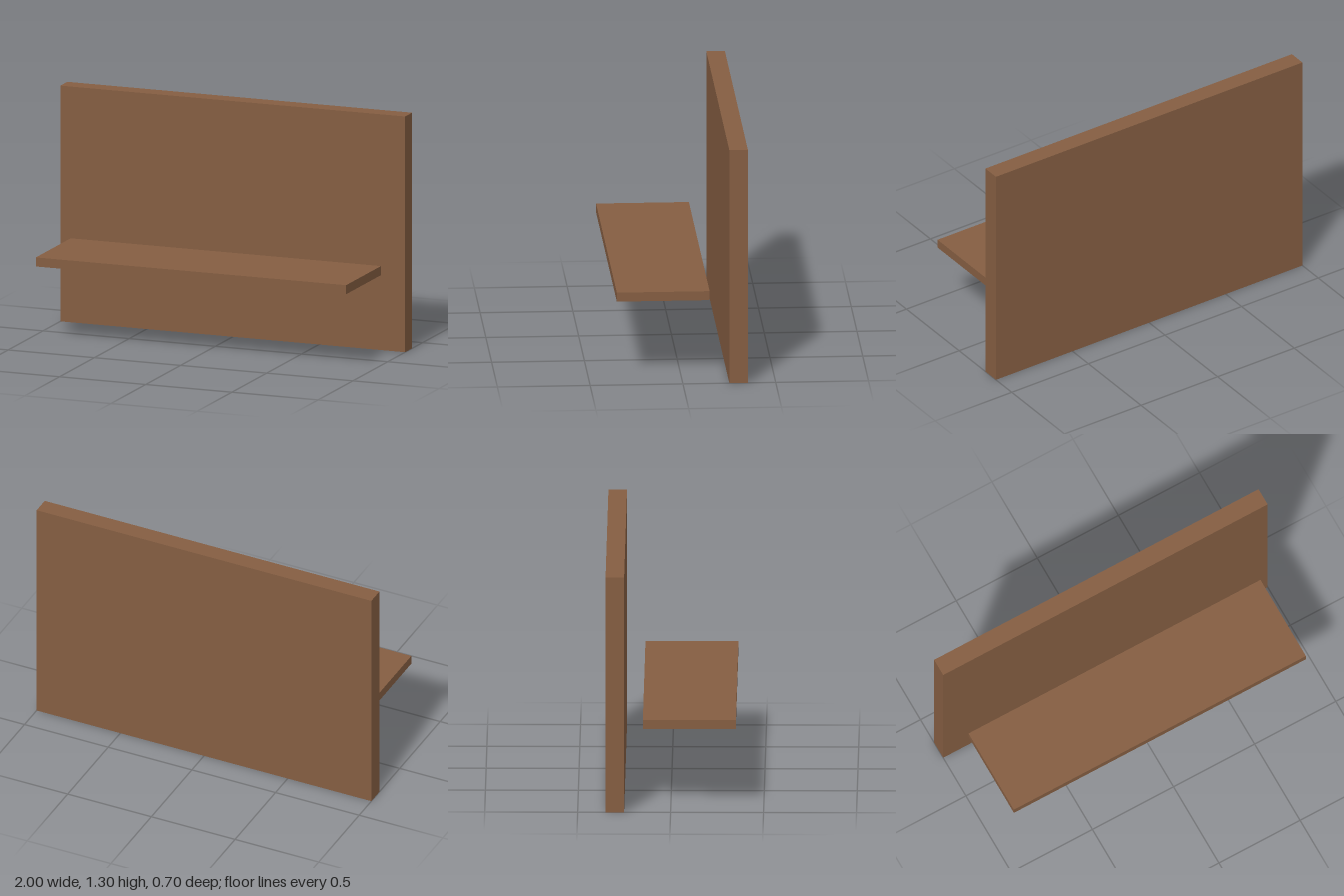
import * as THREE from 'three';

export function createModel() {
  const model = new THREE.Group();
  model.name = 'bench';

  const wood = new THREE.MeshStandardMaterial({ color: 0x855e42 });
  wood.name = 'brown wood';

  const addBoard = (name, size, position) => {
    const board = new THREE.Mesh(new THREE.BoxGeometry(...size), wood);
    board.name = name;
    board.position.set(...position);
    model.add(board);
  };

  // Upright panel standing on the ground
  addBoard('backPanel', [2, 1.3, 0.1], [0, 0.65, -0.3]);
  // Thin horizontal board, set slightly forward of the panel
  addBoard('seat', [1.8, 0.05, 0.5], [0, 0.4625, 0.1]);

  return model;
}
